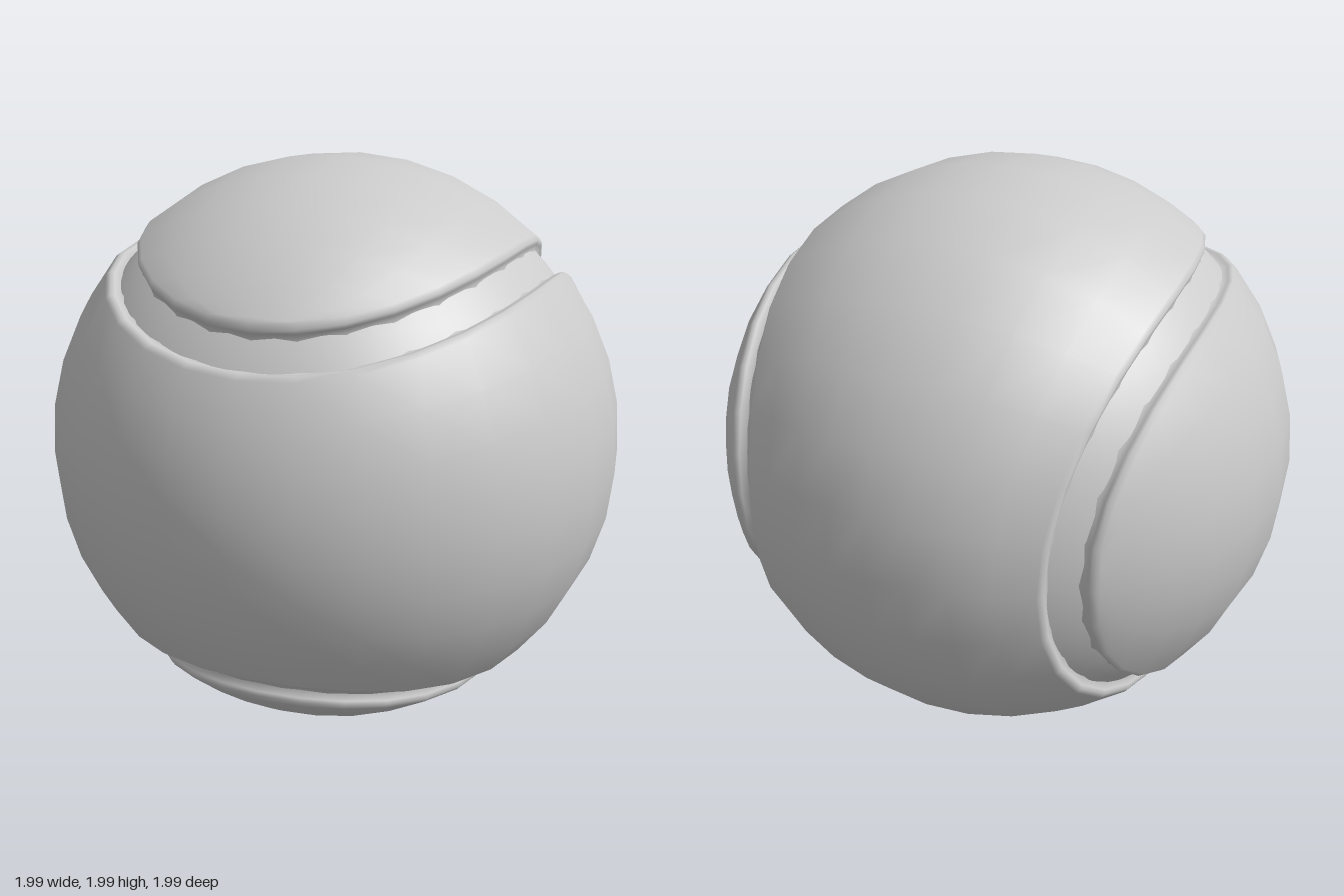
import * as THREE from 'three';
import { mergeVertices } from 'three/addons/utils/BufferGeometryUtils.js';

const R = 0.995;          // ball radius
const STEPS = 28;         // seam steps along one side of a panel
const COLS = 8;           // facets across a panel
// panel rim profile: [distance from the seam line, height as a share of R]
const RIM = [[0.035, 0.952], [0.057, 0.96], [0.063, 0.982], [0.07, 0.995], [0.09, 1]];

// point on the unit-sphere seam curve
function seam(t) {
  const a = 0.79, b = -0.21;
  return new THREE.Vector3(
    a * Math.sin(t) - b * Math.sin(3 * t),
    a * Math.cos(t) + b * Math.cos(3 * t),
    2 * Math.sqrt(-a * b) * Math.cos(2 * t)
  ).normalize();
}

// seam point moved by d along the sphere into the panel
function inset(t, d) {
  const p = seam(t);
  const tangent = seam(t + 0.001).sub(seam(t - 0.001)).normalize();
  const inward = new THREE.Vector3().crossVectors(p, tangent);
  return p.addScaledVector(inward, d).normalize();
}

// triangles that always face away from the ball's centre
function addTriangle(out, a, b, c) {
  const n = b.clone().sub(a).cross(c.clone().sub(a));
  if (n.length() < 1e-9) return;
  const order = n.dot(a.clone().add(b).add(c)) > 0 ? [a, b, c] : [a, c, b];
  for (const p of order) out.push(p.x, p.y, p.z);
}

function addGrid(out, rows) {
  for (let i = 0; i + 1 < rows.length; i++) {
    for (let j = 0; j + 1 < rows[i].length; j++) {
      const [a, b, c, d] = [rows[i][j], rows[i][j + 1], rows[i + 1][j + 1], rows[i + 1][j]];
      addTriangle(out, a, b, c);
      addTriangle(out, a, c, d);
    }
  }
}

function panelGeometry() {
  const out = [];
  // rounded rim running all the way round the panel
  addGrid(out, RIM.map(([d, h]) => {
    const ring = [];
    for (let i = -STEPS; i <= STEPS; i++) {
      ring.push(inset((i / STEPS) * Math.PI, d).multiplyScalar(h * R));
    }
    return ring;
  }));
  // outer skin: arcs joining the two long sides
  const [edge, height] = RIM[RIM.length - 1];
  const arcs = [];
  for (let i = 0; i <= STEPS; i++) {
    const p = inset((i / STEPS) * Math.PI, edge);
    const half = Math.asin(p.x);
    const mid = new THREE.Vector3(0, p.y, p.z).normalize();
    const arc = [];
    for (let j = 0; j <= COLS; j++) {
      const angle = half * (2 * j / COLS - 1);
      const q = mid.clone().multiplyScalar(Math.cos(angle));
      q.x = Math.sin(angle);
      arc.push(q.multiplyScalar(height * R));
    }
    arcs.push(arc);
  }
  addGrid(out, arcs);

  let geometry = new THREE.BufferGeometry();
  geometry.setAttribute('position', new THREE.Float32BufferAttribute(out, 3));
  geometry = mergeVertices(geometry, 1e-5);
  geometry.computeVertexNormals();
  return geometry;
}

export function createModel() {
  const group = new THREE.Group();
  group.name = 'ball';
  const material = new THREE.MeshStandardMaterial({ color: 0xcccccc });

  // core showing as the floor of the seam groove
  const core = new THREE.Mesh(new THREE.SphereGeometry(0.958 * R, 64, 40), material);
  core.name = 'seamCore';

  // panel wrapping top, back and bottom
  const geometry = panelGeometry();
  const backPanel = new THREE.Mesh(geometry, material);
  backPanel.name = 'backPanel';

  // matching panel wrapping the sides and the front
  const frontPanel = new THREE.Mesh(geometry, material);
  frontPanel.name = 'frontPanel';
  frontPanel.quaternion.setFromAxisAngle(new THREE.Vector3(1, 1, 0).normalize(), Math.PI);

  for (const mesh of [core, backPanel, frontPanel]) {
    mesh.position.y = R;
    group.add(mesh);
  }
  return group;
}
